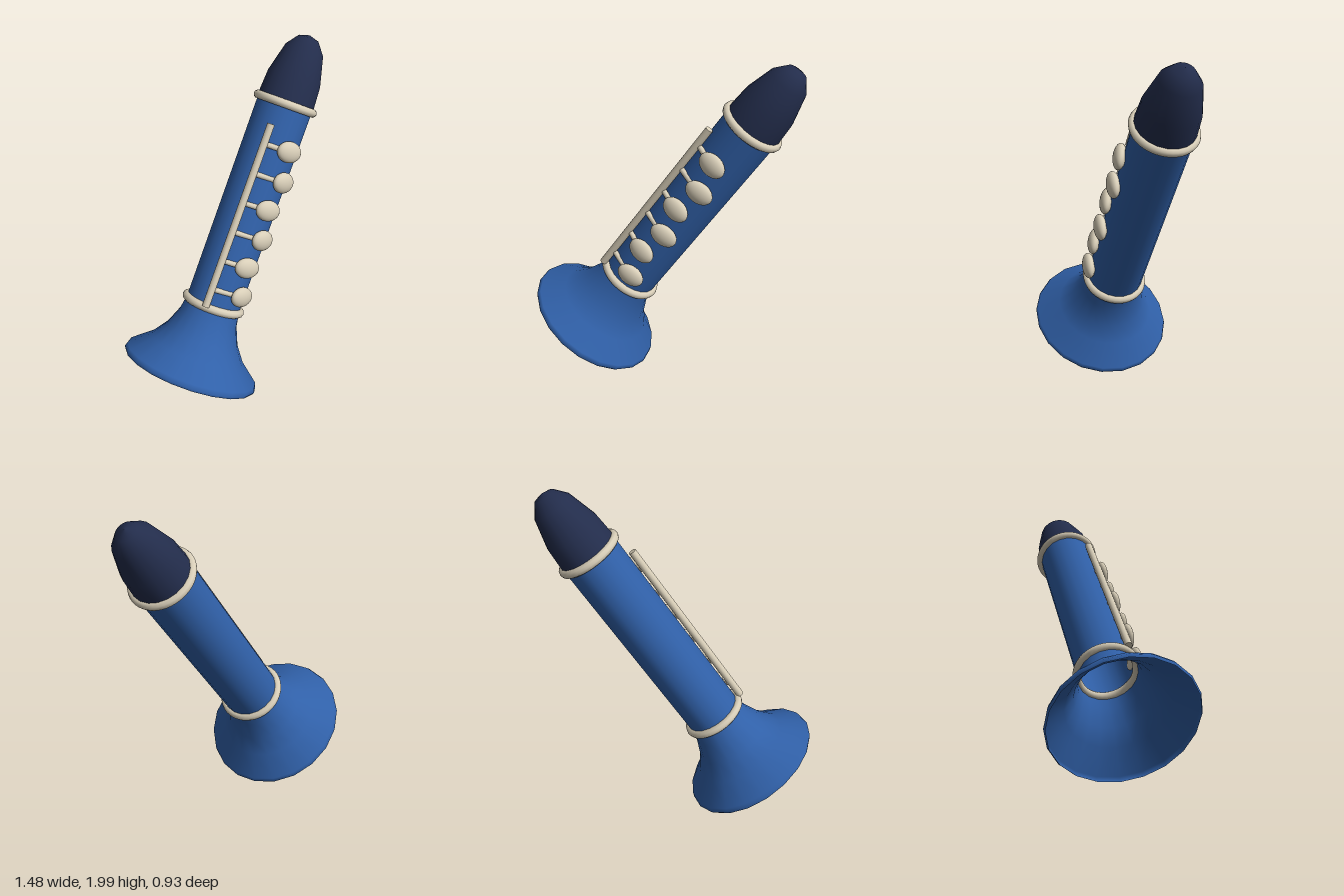
import * as THREE from 'three';

const mat = (name, color, side = THREE.FrontSide) => {
  const m = new THREE.MeshStandardMaterial({ color, side });
  m.name = name;
  return m;
};

export function createModel() {
  const blue = mat('blue body', 0x3060a8, THREE.DoubleSide);
  const navy = mat('navy mouthpiece', 0x232d4c);
  const cream = mat('cream fittings', 0xd8ceb8);

  const model = new THREE.Group();
  model.name = 'hornPipe';

  // The instrument is built upright along y, then tilted as a whole
  const horn = new THREE.Group();
  horn.name = 'tiltedInstrument';
  model.add(horn);

  const add = (name, geometry, material) => {
    const mesh = new THREE.Mesh(geometry, material);
    mesh.name = name;
    horn.add(mesh);
    return mesh;
  };
  const lathe = (profile) =>
    new THREE.LatheGeometry(profile.map(([r, y]) => new THREE.Vector2(r, y)), 20);

  // Straight tube
  add('tube', lathe([[0.165, 0.42], [0.165, 1.68]]), blue);

  // Open flared bell
  add('bell', lathe([
    [0.408, -0.01], [0.417, 0.005], [0.408, 0.03], [0.29, 0.13],
    [0.225, 0.22], [0.18, 0.33], [0.165, 0.42],
  ]), blue);

  // Rounded mouthpiece
  add('mouthpiece', lathe([
    [0.17, 1.68], [0.16, 1.83], [0.115, 2.0], [0.06, 2.07], [0, 2.088],
  ]), navy);

  // Rings at both ends of the tube
  for (const [name, y] of [['lowerRing', 0.42], ['upperRing', 1.677]]) {
    const ring = add(name, new THREE.TorusGeometry(0.168, 0.025, 10, 40), cream);
    ring.rotation.x = Math.PI / 2;
    ring.position.y = y;
  }

  // Round bar joining two points
  const bar = (name, a, b, radius) => {
    const mesh = add(name, new THREE.CylinderGeometry(radius, radius, a.distanceTo(b), 12), cream);
    mesh.position.copy(a).lerp(b, 0.5);
    mesh.quaternion.setFromUnitVectors(new THREE.Vector3(0, 1, 0), b.clone().sub(a).normalize());
  };

  // Long key rod beside the tube
  const rodOffset = 0.195;
  bar('keyRod', new THREE.Vector3(0, 0.43, rodOffset), new THREE.Vector3(0, 1.545, rodOffset), 0.022);

  // Staggered oval keys, each on a short arm from the rod
  for (let i = 0; i < 6; i++) {
    const y = 0.537 + 0.178 * i;
    const angle = THREE.MathUtils.degToRad(i % 2 ? 49.5 : 62.5);
    const centre = new THREE.Vector3(Math.sin(angle) * 0.183, y, Math.cos(angle) * 0.183);
    const pad = add('keyPad', new THREE.SphereGeometry(1, 20, 14), cream);
    pad.scale.set(0.084, 0.062, 0.036);
    pad.rotation.y = angle;
    pad.position.copy(centre);
    bar('keyArm', new THREE.Vector3(0, y, rodOffset - 0.01), centre, 0.016);
  }

  // Lean the axis and turn the keys to the front
  const axis = new THREE.Vector3(0.513, 0.835, -0.199).normalize();
  const side = new THREE.Vector3().crossVectors(axis, new THREE.Vector3(-0.615, 0.515, 0.59)).normalize();
  const rodDir = new THREE.Vector3().crossVectors(side, axis);
  horn.quaternion.setFromRotationMatrix(new THREE.Matrix4().makeBasis(side, axis, rodDir));
  horn.position.set(-0.388, 0.238, 0.06);

  return model;
}
